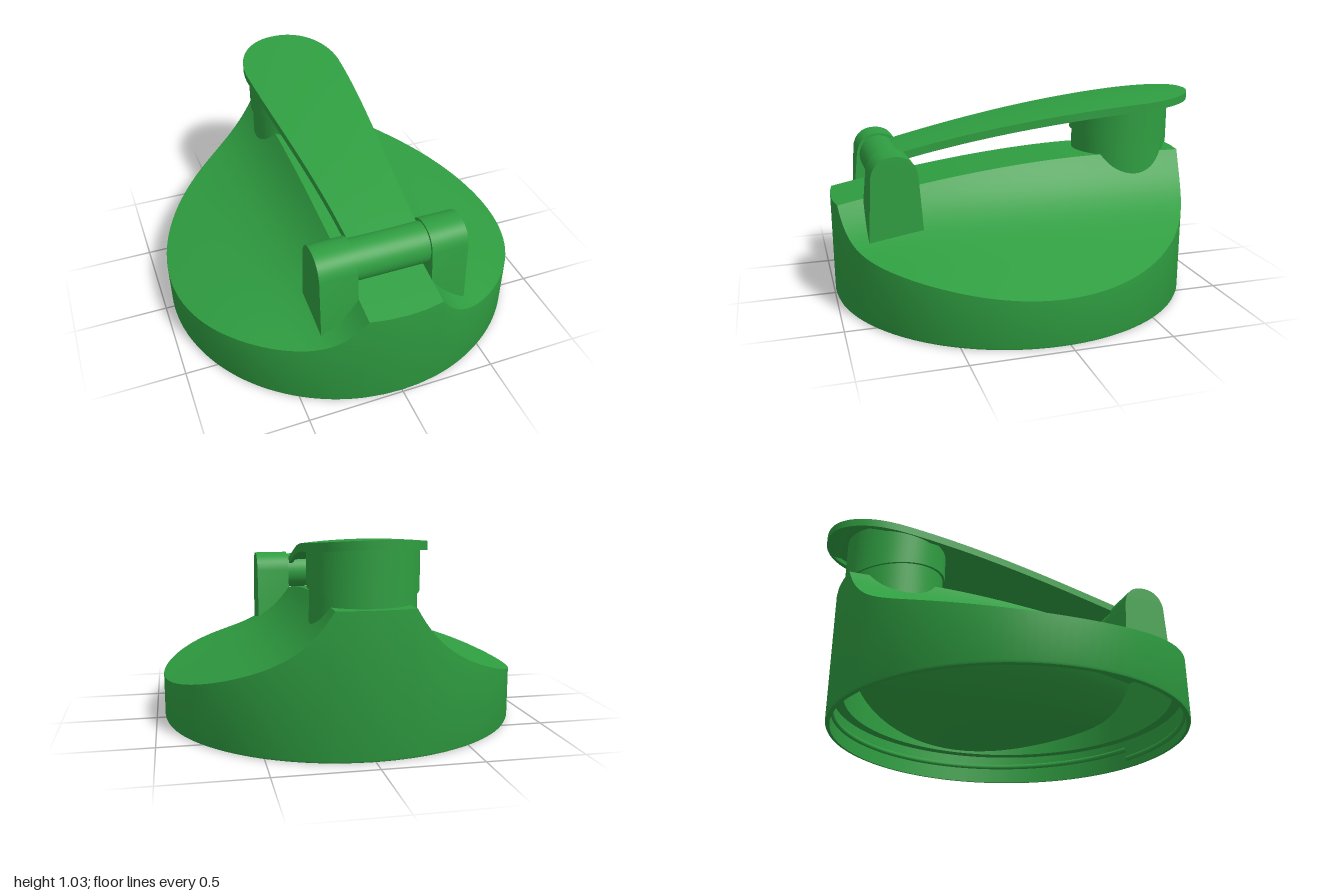
import * as THREE from 'three';
import { mergeGeometries, toCreasedNormals } from 'three/addons/utils/BufferGeometryUtils.js';

const clamp = THREE.MathUtils.clamp;
const R = 0.955, CZ = 0.04, RIDGE = 0.19;   // lid radius, centre z, ridge half-width
const INNER = 0.875, SHELL = 0.06;          // inner roof radius, roof thickness
const NECK = 0.932, LEDGE = 0.165;          // threaded bore radius and height

// Surface over two index ranges; the front faces du x dv
function grid(nu, nv, point, flip = false) {
  const pos = [], index = [];
  for (let i = 0; i <= nu; i++) for (let j = 0; j <= nv; j++) pos.push(...point(i, j));
  for (let i = 0; i < nu; i++) for (let j = 0; j < nv; j++) {
    const a = i * (nv + 1) + j, b = a + nv + 1, c = b + 1, d = a + 1;
    if (flip) index.push(a, c, b, a, d, c);
    else index.push(a, b, c, a, c, d);
  }
  const g = new THREE.BufferGeometry();
  g.setAttribute('position', new THREE.Float32BufferAttribute(pos, 3));
  g.setIndex(index);
  return g;
}

// Roof: a flat-topped ridge along z, steep at its edges, then a gentle even slope
function roofHeight(x, z) {
  const ridge = 0.71 - 0.17 * Math.pow(clamp((z + 0.4) / 1.4, 0, 1), 1.7);
  const t = clamp((Math.abs(x) - RIDGE) / (R - RIDGE), 0, 1);
  const slope = 0.63 - 0.23 * clamp((z - 0.3) / 0.7, 0, 1) ** 2;
  return 0.24 + (ridge - 0.24) * (slope * (1 - t) + (1 - slope) * Math.pow(1 - t, 5.9));
}

function lidGeometry() {
  // Rim angles, with stations exactly on the ridge edges
  const edge = Math.asin(RIDGE / R), side = [];
  for (let i = 0; i <= 30; i++) side.push(edge + (Math.PI / 2 - edge) * Math.pow(i / 30, 1.25));
  const angles = [...side.map(a => -a).reverse(), -edge / 2, 0, edge / 2, ...side];
  const loop = [...angles, ...[...angles].reverse().slice(1).map(a => Math.PI - a)];

  const roof = (radius, drop, flip) => grid(40, angles.length - 1, (i, j) => {
    const x = Math.sin(angles[j]), z = (i / 20 - 1) * Math.cos(angles[j]);
    return [x * radius, roofHeight(x * R, z * R + CZ) - drop, z * radius + CZ];
  }, flip);

  // Wall section: inner top, ledge, threaded bore, foot, rounded edge, outer top
  const wall = grid(loop.length - 1, 7, (i, j) => {
    const x = Math.sin(loop[i]), z = Math.cos(loop[i]);
    const top = roofHeight(R * x, R * z + CZ);
    const r = [INNER, INNER, NECK, NECK, R - 0.012, R - 0.004, R, R][j];
    const y = [top - SHELL, LEDGE, LEDGE, 0, 0, 0.004, 0.014, top][j];
    return [r * x, y, r * z + CZ];
  });
  return toCreasedNormals(mergeGeometries([roof(R, 0, false), roof(INNER, SHELL, true), wall]), 0.62);
}

const strapTop = (x, z) => 0.93 - 0.161 * z - 0.061 * z * z - 0.016 * (x / 0.28) ** 2;

function strapHalfWidth(z) {
  if (z < -0.65) return 0.28 * Math.pow(Math.max(0, 1 - Math.pow((-0.65 - z) / 0.35, 2.2)), 1 / 2.2);
  const t = clamp((0.65 - z) / 1.3, 0, 1);
  return 0.18 + 0.1 * (0.5 * t + 0.5 * t * t * (3 - 2 * t));
}

// Crowned strap with a recessed underside and a rounded tip
function strapGeometry() {
  const zs = [];
  for (let i = 0; i <= 30; i++) zs.push(0.7 - 1.35 * i / 30);
  for (let i = 1; i <= 24; i++) zs.push(-0.65 - 0.35 * Math.sin(i / 24 * Math.PI / 2));
  const section = [];   // [fraction of half-width, depth, recess]
  for (let i = 0; i <= 12; i++) section.push([i / 6 - 1, 0, 0]);
  section.push([1, 0.042, 0], [0.88, 0.042, 0]);
  for (let i = 0; i <= 8; i++) section.push([0.86 * (1 - i / 4), 0.042, 0.022]);
  section.push([-0.88, 0.042, 0], [-1, 0.042, 0], [-1, 0, 0]);
  const g = grid(zs.length - 1, section.length - 1, (i, j) => {
    const z = zs[i], [f, depth, recess] = section[j];
    const x = f * strapHalfWidth(z);
    return [x, strapTop(x, z) - depth + recess * clamp((z + 0.94) / 0.04, 0, 1), z];
  }, true);
  return toCreasedNormals(g, 0.6);
}

// Cap under the strap, with a slanted foot and a top that follows the strap
function capGeometry() {
  const g = new THREE.CylinderGeometry(0.27, 0.27, 1, 64);
  g.translate(0, 0, -0.615);
  const p = g.attributes.position;
  for (let i = 0; i < p.count; i++) {
    const x = p.getX(i), z = p.getZ(i);
    p.setY(i, p.getY(i) > 0 ? strapTop(x, z) - 0.015 : 0.78 + (z + 0.615) * 0.148);
  }
  return toCreasedNormals(g, 0.6);
}

// Hinge post: round top and flared foot that follows the roof, extruded across x
function postGeometry(x) {
  const s = new THREE.Shape();
  s.moveTo(-0.847, 0.355);
  s.lineTo(-0.573, 0.355);
  s.lineTo(-0.594, 0.72);
  s.bezierCurveTo(-0.605, 0.79, -0.65, 0.82, -0.71, 0.82);
  s.bezierCurveTo(-0.77, 0.82, -0.815, 0.79, -0.828, 0.72);
  s.closePath();
  const g = new THREE.ExtrudeGeometry(s, { depth: 0.19, bevelEnabled: false, curveSegments: 12 });
  g.rotateY(Math.PI / 2);
  g.translate(x, 0, 0);
  const p = g.attributes.position;
  for (let i = 0; i < p.count; i++) {
    if (p.getY(i) < 0.36) p.setY(i, roofHeight(p.getX(i), p.getZ(i)) - 0.025);
  }
  return toCreasedNormals(g, 0.5);
}

// One turn of screw thread on the bore
function threadGeometry() {
  const points = [];
  for (let i = 0; i <= 60; i++) {
    const a = 0.33 - i / 60 * Math.PI * 2;
    points.push(new THREE.Vector3(NECK * Math.sin(a), 0.055 + 0.055 * i / 60, CZ + NECK * Math.cos(a)));
  }
  return new THREE.TubeGeometry(new THREE.CatmullRomCurve3(points), 160, 0.015, 8);
}

export function createModel() {
  const model = new THREE.Group();
  model.name = 'bottleLid';
  const green = new THREE.MeshStandardMaterial({ color: 0x2f9e41 });
  green.name = 'green';
  const add = (name, geometry, x = 0, y = 0, z = 0) => {
    const mesh = new THREE.Mesh(geometry, green);
    mesh.name = name;
    mesh.position.set(x, y, z);
    model.add(mesh);
    return mesh;
  };

  add('lid', lidGeometry());
  add('thread', threadGeometry());

  // Drinking spout and its cap
  add('spout', new THREE.CylinderGeometry(0.257, 0.26, 0.24, 64), 0, 0.71, -0.615);
  add('spoutCap', capGeometry());

  // Hinged strap
  add('strap', strapGeometry());
  add('hingePin', new THREE.CylinderGeometry(0.104, 0.104, 0.4, 48), 0, 0.706, 0.71).rotation.z = Math.PI / 2;
  add('leftHingePost', postGeometry(RIDGE));
  add('rightHingePost', postGeometry(-RIDGE - 0.19));
  return model;
}
